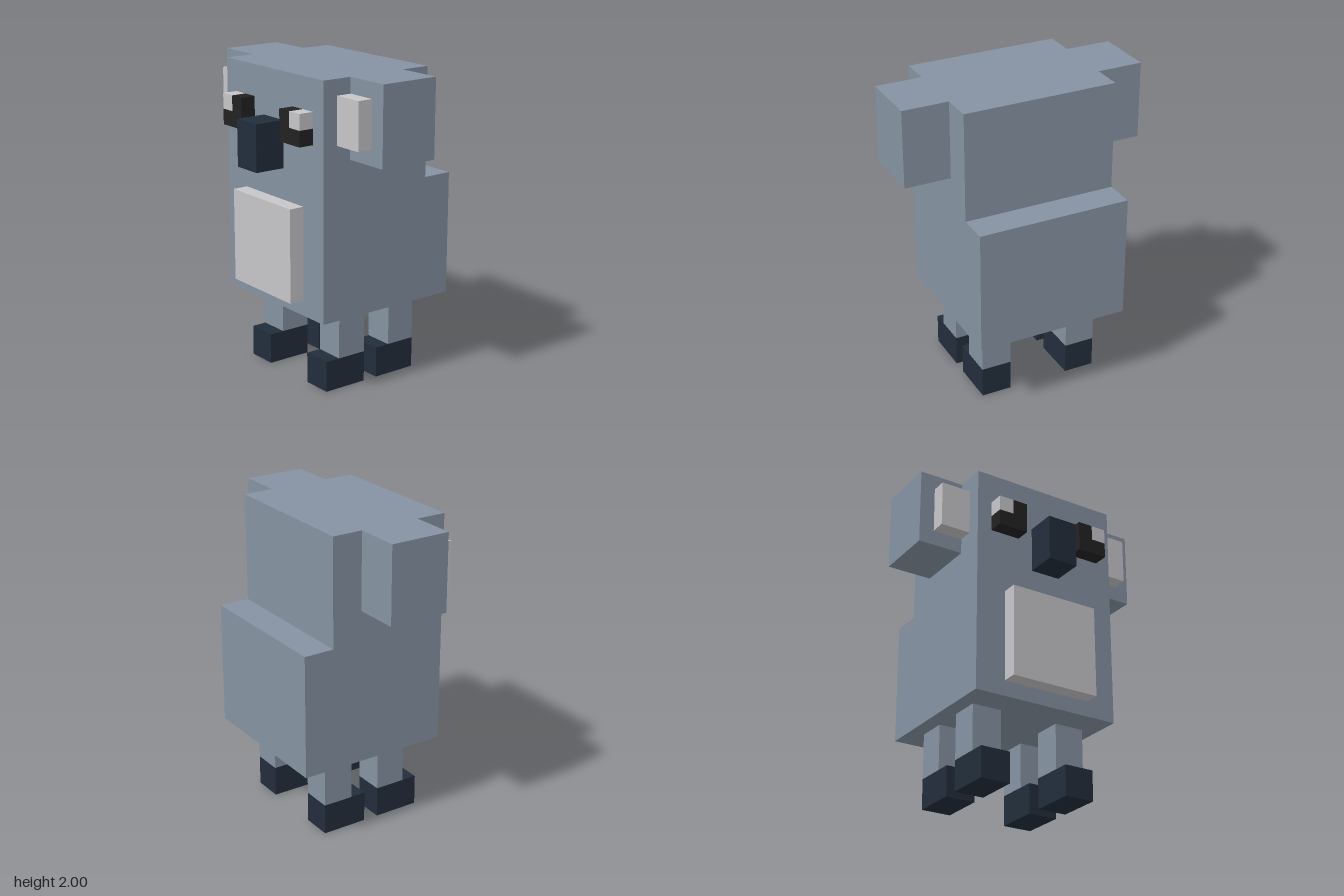
import * as THREE from 'three';

const material = (name, color) => {
  const m = new THREE.MeshStandardMaterial({ color });
  m.name = name;
  return m;
};

export function createModel() {
  const fur = material('blueGreyFur', 0x8592a2);
  const pale = material('paleGrey', 0xc6c6c9);
  const navy = material('darkNavy', 0x222d3b);
  const black = material('black', 0x222222);

  const model = new THREE.Group();
  model.name = 'blockAnimal';

  const add = (name, geometry, mat, parent = model) => {
    const mesh = new THREE.Mesh(geometry, mat);
    mesh.name = name;
    parent.add(mesh);
    return mesh;
  };

  // Box given by its [min, max] range on each axis
  const box = (name, mat, x, y, z, parent) => {
    const g = new THREE.BoxGeometry(x[1] - x[0], y[1] - y[0], z[1] - z[0]);
    g.translate((x[0] + x[1]) / 2, (y[0] + y[1]) / 2, (z[0] + z[1]) / 2);
    return add(name, g, mat, parent);
  };

  // Straight extrusion of a 2D outline
  const extrude = (points, depth) => new THREE.ExtrudeGeometry(
    new THREE.Shape(points.map(([x, y]) => new THREE.Vector2(x, y))),
    { depth, bevelEnabled: false });

  // Body and head: side profile (-z, y) with a step at the back, turned to run across x
  const profile = [[-0.4, 0.5], [0.6, 0.5], [0.6, 1.3], [0.4, 1.3], [0.4, 2], [-0.4, 2]];
  const torso = extrude(profile, 1);
  torso.translate(0, 0, -0.5);
  torso.rotateY(Math.PI / 2);
  add('bodyAndHead', torso, fur);

  box('belly', pale, [-0.3, 0.3], [0.6, 1.2], [0.4, 0.5]);
  box('nose', navy, [-0.1, 0.1], [1.4, 1.7], [0.4, 0.6]);

  for (const [side, s] of [['left', 1], ['right', -1]]) {
    const range = (a, b) => (s > 0 ? [a, b] : [-b, -a]);

    // Ear with its pale inside
    const ear = new THREE.Group();
    ear.name = side + 'Ear';
    model.add(ear);
    box(side + 'OuterEar', fur, range(0.5, 0.8), [1.5, 2], [-0.2, 0.2], ear);
    box(side + 'InnerEar', pale, range(0.5, 0.7), [1.6, 1.9], [0.2, 0.3], ear);

    // L-shaped eye with a highlight filling the upper outer corner
    const eye = new THREE.Group();
    eye.name = side + 'Eye';
    model.add(eye);
    const outline = [[0.2, 1.6], [0.4, 1.6], [0.4, 1.7], [0.3, 1.7], [0.3, 1.8], [0.2, 1.8]];
    const pupil = extrude(outline.map(([x, y]) => [s * x, y]), 0.1);
    pupil.translate(0, 0, 0.4);
    add(side + 'Pupil', pupil, black, eye);
    box(side + 'EyeHighlight', pale, range(0.3, 0.4), [1.7, 1.8], [0.4, 0.5], eye);

    // Legs, each with a foot reaching forward
    for (const [end, back] of [['Front', 0], ['Back', -0.4]]) {
      const leg = new THREE.Group();
      leg.name = side + end + 'Leg';
      model.add(leg);
      box(side + end + 'Shin', fur, range(0.2, 0.4), [0.2, 0.5], [back, back + 0.2], leg);
      box(side + end + 'Foot', navy, range(0.2, 0.4), [0, 0.2], [back, back + 0.3], leg);
    }
  }

  return model;
}
